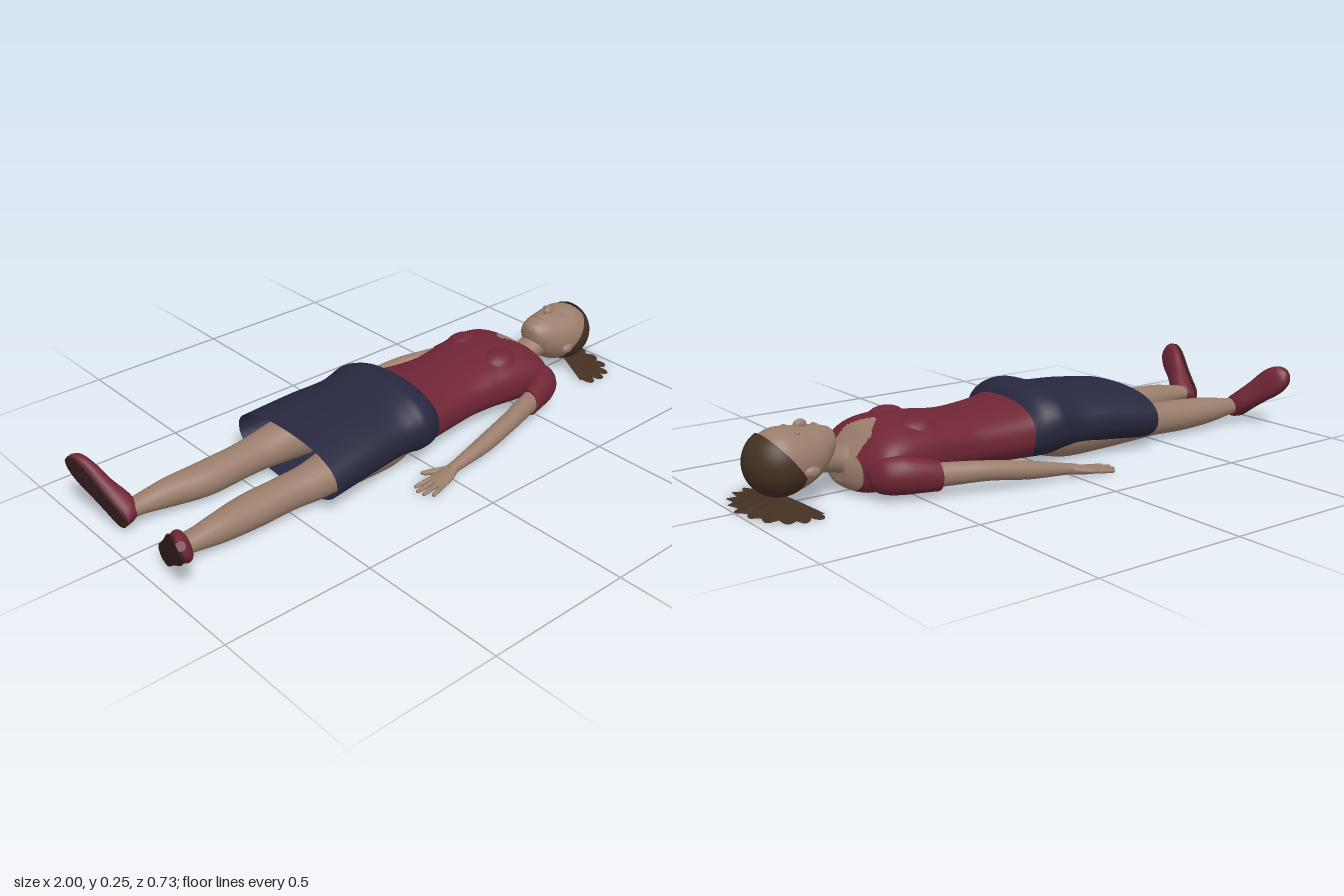
import * as THREE from 'three';

const mat = (name, color, side = THREE.FrontSide) => {
  const m = new THREE.MeshStandardMaterial({ color, side });
  m.name = name;
  return m;
};

// Uniform Catmull-Rom through rows of numbers
function smoothRows(rows, steps) {
  const out = [];
  const at = (i) => rows[Math.max(0, Math.min(rows.length - 1, i))];
  for (let i = 0; i < rows.length - 1; i++) {
    for (let s = 0; s < steps; s++) {
      const t = s / steps;
      out.push(rows[i].map((b, k) => {
        const a = at(i - 1)[k], c = at(i + 1)[k], d = at(i + 2)[k];
        return b + 0.5 * t * (c - a + t * (2 * a - 5 * b + 4 * c - d + t * (3 * (b - c) + d - a)));
      }));
    }
  }
  out.push(rows[rows.length - 1]);
  return out;
}

// Loft along ascending x; rows are [x, centreY, centreZ, radiusY, radiusZ]
function loft(rows, { sides = 24, steps = 5, pow = 2, caps = true, split = null } = {}) {
  const rings = smoothRows(rows, steps), pos = [], groups = [[], []];
  const bend = (v) => Math.sign(v) * Math.pow(Math.abs(v), 2 / pow);
  const addRing = ([x, cy, cz, ry, rz]) => {
    for (let j = 0; j < sides; j++) {
      const a = (j / sides) * Math.PI * 2;
      pos.push(x, cy + ry * bend(Math.cos(a)), cz + rz * bend(Math.sin(a)));
    }
  };
  const tri = (...v) => {
    const mid = [0, 1, 2].map((k) => (pos[v[0] * 3 + k] + pos[v[1] * 3 + k] + pos[v[2] * 3 + k]) / 3);
    groups[split && split(...mid) ? 1 : 0].push(...v);
  };
  rings.forEach(addRing);
  for (let i = 0; i < rings.length - 1; i++) {
    for (let j = 0; j < sides; j++) {
      const a = i * sides + j, b = i * sides + (j + 1) % sides;
      tri(a, b, a + sides);
      tri(b, b + sides, a + sides);
    }
  }
  if (caps) {
    [rings[0], rings[rings.length - 1]].forEach((r, end) => {
      const base = pos.length / 3;
      addRing(r);
      pos.push(r[0], r[1], r[2]);
      for (let j = 0; j < sides; j++) {
        const a = base + j, b = base + (j + 1) % sides;
        if (end) tri(base + sides, a, b); else tri(base + sides, b, a);
      }
    });
  }
  const g = new THREE.BufferGeometry();
  g.setAttribute('position', new THREE.Float32BufferAttribute(pos, 3));
  g.setIndex([...groups[0], ...groups[1]]);
  if (split) {
    g.addGroup(0, groups[0].length, 0);
    g.addGroup(groups[0].length, groups[1].length, 1);
  }
  g.computeVertexNormals();
  return g;
}

// Centred section given by its top and bottom heights
const span = (x, top, bottom, rz) => [x, (top + bottom) / 2, 0, (top - bottom) / 2, rz];

export function createModel() {
  const model = new THREE.Group();
  model.name = 'lyingWoman';
  const skin = mat('skin', 0x9a7d6b), shirt = mat('shirtRed', 0x702535);
  const skirt = mat('skirtNavy', 0x27273f, THREE.DoubleSide);
  const hair = mat('hairBrown', 0x443022, THREE.DoubleSide);
  const sole = mat('soleBrown', 0x38201f);

  const add = (name, geometry, material, parent = model) => {
    const m = new THREE.Mesh(geometry, material);
    m.name = name;
    parent.add(m);
    return m;
  };
  const ball = (name, material, p, r) => {
    const m = add(name, new THREE.SphereGeometry(1, 20, 14), material);
    m.position.set(...p);
    m.scale.set(...r);
  };

  // Shirt body with a V-shaped neckline
  add('shirt', loft([
    span(0.03, 0.215, 0.012, 0.195), span(0.12, 0.2, 0.015, 0.18), span(0.25, 0.193, 0.02, 0.165),
    span(0.35, 0.203, 0.02, 0.17), span(0.43, 0.212, 0.015, 0.18), span(0.52, 0.21, 0.008, 0.188),
    span(0.58, 0.19, 0.004, 0.185), span(0.62, 0.155, 0.004, 0.16), span(0.65, 0.125, 0.015, 0.095),
    span(0.665, 0.11, 0.035, 0.05),
  ], {
    sides: 112, steps: 10, pow: 2.4,
    split: (x, y, z) => x > 0.643 || (y > 0.09 && x > 0.52 + Math.abs(z) * 0.95 && Math.abs(z) < 0.075),
  }), [shirt, skin]);

  // Skirt, open at the hem
  add('skirt', loft([
    span(-0.41, 0.2, 0.012, 0.25), span(-0.25, 0.22, 0.02, 0.235), span(-0.12, 0.23, 0.022, 0.22),
    span(-0.06, 0.245, 0.02, 0.224), span(-0.02, 0.256, 0.014, 0.23), span(0.03, 0.245, 0.012, 0.215),
    span(0.062, 0.214, 0.016, 0.193),
  ], { sides: 40, pow: 2.3, caps: false }), skirt);

  // Neck and head, face up
  add('neck', loft([
    [0.6, 0.1, 0, 0.05, 0.065], [0.65, 0.1, 0, 0.042, 0.05], [0.7, 0.115, 0, 0.045, 0.047], [0.76, 0.125, 0, 0.05, 0.05],
  ]), skin);
  add('head', loft([
    span(0.678, 0.19, 0.16, 0.015), span(0.69, 0.207, 0.125, 0.042), span(0.73, 0.22, 0.075, 0.07),
    span(0.78, 0.226, 0.045, 0.086), span(0.82, 0.23, 0.036, 0.094), span(0.87, 0.231, 0.036, 0.096),
    span(0.92, 0.205, 0.06, 0.078), span(0.95, 0.16, 0.1, 0.03),
  ], { sides: 32 }), skin);
  ball('nose', skin, [0.783, 0.228, 0], [0.022, 0.018, 0.013]);
  ball('lips', skin, [0.735, 0.217, 0], [0.009, 0.01, 0.022]);
  ball('chin', skin, [0.7, 0.198, 0], [0.014, 0.013, 0.022]);

  // Hair cap and the loose hair fanned out on the ground
  const cap = add('hairCap', new THREE.SphereGeometry(0.105, 36, 20, 0, Math.PI * 2, 0, 1.7), hair);
  cap.position.set(0.858, 0.131, 0);
  cap.rotation.z = -2.24;
  const fan = new THREE.RingGeometry(0.01, 1, 180, 8, -2.1, 4.2);
  const p = fan.attributes.position;
  for (let i = 0; i < p.count; i++) {
    const u = p.getX(i), v = p.getY(i), r = Math.hypot(u, v), a = Math.atan2(v, u);
    const k = 1 - r * r * (0.15 * (1 - Math.abs(Math.sin(a * 8.5 + 1.57))) + 0.03 * Math.sin(a * 5) ** 2);
    p.setXYZ(i, 0.86 + 0.14 * u * k, 0.036 - 0.033 * r + 0.002 * Math.sin(a * 17) * r, -0.207 * v * k);
  }
  fan.computeVertexNormals();
  add('looseHair', fan, hair);

  for (const s of [1, -1]) {
    const side = s > 0 ? 'left' : 'right';
    const limb = (rows, options) => loft(rows.map(([x, y, z, ry, rz]) => [x, y, z * s, ry, rz]), options);

    ball(side + 'Bust', shirt, [0.44, 0.166, 0.085 * s], [0.075, 0.053, 0.06]);
    ball(side + 'Ear', skin, [0.795, 0.108, 0.09 * s], [0.026, 0.017, 0.012]);
    ball(side + 'Eyelid', skin, [0.815, 0.216, 0.036 * s], [0.01, 0.011, 0.017]);

    // Short sleeve and arm
    add(side + 'Sleeve', limb([
      [0.455, 0.067, 0.222, 0.047, 0.037], [0.51, 0.074, 0.203, 0.054, 0.046], [0.565, 0.078, 0.176, 0.06, 0.058],
      [0.615, 0.075, 0.15, 0.05, 0.052], [0.638, 0.07, 0.135, 0.015, 0.02],
    ]), shirt);
    add(side + 'Arm', limb([
      [0, 0.026, 0.308, 0.017, 0.02], [0.04, 0.032, 0.304, 0.019, 0.02], [0.17, 0.049, 0.291, 0.029, 0.029],
      [0.3, 0.066, 0.269, 0.031, 0.032], [0.4, 0.069, 0.24, 0.035, 0.033], [0.5, 0.07, 0.21, 0.038, 0.034],
    ]), skin);

    // Hand
    add(side + 'Palm', limb([
      [-0.082, 0.015, 0.319, 0.007, 0.031], [-0.065, 0.017, 0.318, 0.011, 0.035], [-0.03, 0.02, 0.314, 0.014, 0.033],
      [0.02, 0.028, 0.306, 0.017, 0.02],
    ]), skin);
    [[-0.13, 0.287], [-0.142, 0.31], [-0.138, 0.334], [-0.12, 0.357]].forEach(([x, z], i) => {
      const root = 0.292 + i * 0.0175;
      add(side + 'Finger' + (i + 1), limb([
        [x, 0.01, z, 0.002, 0.002], [x + 0.007, 0.01, z, 0.006, 0.007], [-0.06, 0.017, root, 0.009, 0.009],
      ], { sides: 10 }), skin);
    });
    add(side + 'Thumb', limb([
      [-0.064, 0.011, 0.243, 0.002, 0.002], [-0.058, 0.012, 0.247, 0.007, 0.008],
      [-0.03, 0.016, 0.268, 0.01, 0.013], [0.005, 0.024, 0.298, 0.012, 0.014],
    ], { sides: 12 }), skin);

    // Leg
    add(side + 'Leg', limb([
      [-0.91, 0.06, 0.128, 0.028, 0.033], [-0.86, 0.062, 0.13, 0.031, 0.034], [-0.76, 0.063, 0.127, 0.046, 0.046],
      [-0.64, 0.063, 0.118, 0.054, 0.058], [-0.5, 0.069, 0.12, 0.056, 0.057], [-0.41, 0.073, 0.124, 0.061, 0.064],
      [-0.25, 0.086, 0.118, 0.08, 0.08], [-0.1, 0.092, 0.106, 0.088, 0.088], [0.02, 0.1, 0.09, 0.07, 0.075],
    ]), skin);

    // Shoe turned outward, toe up, with its sole facing away from the body
    const shoe = new THREE.Group();
    shoe.name = side + 'ShoeGroup';
    const toe = new THREE.Vector3(-0.234, 0.625, 0.742 * s).normalize();
    const up = new THREE.Vector3(1, 0, 0).addScaledVector(toe, -toe.x).normalize();
    shoe.applyMatrix4(new THREE.Matrix4().makeBasis(toe, up, toe.clone().cross(up)));
    shoe.position.set(-0.934, 0.033, 0.1 * s);
    model.add(shoe);
    const outline = [
      [-0.004, 0.035, 0.012], [0.006, 0.06, 0.028], [0.03, 0.072, 0.037], [0.07, 0.074, 0.038], [0.13, 0.06, 0.042],
      [0.2, 0.05, 0.049], [0.245, 0.04, 0.038], [0.265, 0.024, 0.014],
    ];
    add(side + 'Shoe', loft(outline.map(([x, h, w]) => span(x, h, 0, w)), { pow: 2.3 }), shirt, shoe);
    add(side + 'Sole', loft(outline.map(([x, , w]) => span(x, 0.008, -0.001, w * 0.97)), { pow: 4 }), sole, shoe);
  }
  return model;
}
